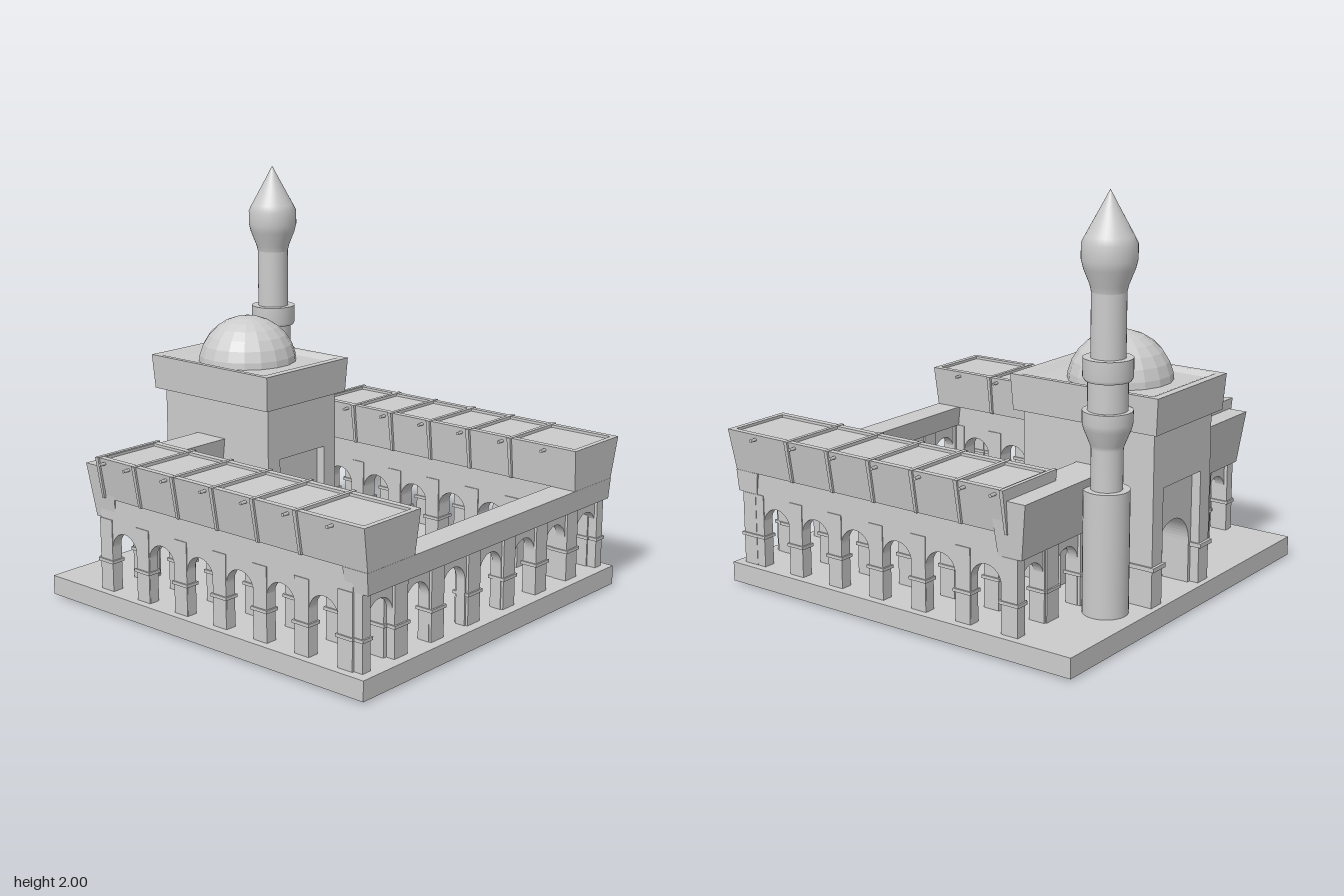
import * as THREE from 'three';

const mat = new THREE.MeshStandardMaterial({ color: 0xcccccc });
const flatMat = new THREE.MeshStandardMaterial({ color: 0xcccccc, flatShading: true });

function add(parent, name, geo, material = mat) {
  const m = new THREE.Mesh(geo, material);
  m.name = name;
  parent.add(m);
  return m;
}

// Axis-aligned box given by its limits
function box(parent, name, x0, x1, y0, y1, z0, z1) {
  const m = add(parent, name, new THREE.BoxGeometry(x1 - x0, y1 - y0, z1 - z0));
  m.position.set((x0 + x1) / 2, (y0 + y1) / 2, (z0 + z1) / 2);
}

// Flat plate with rectangular holes; rectangles are [xCentre, zCentre, width, depth]
function plate(parent, name, rect, y0, y1, holes) {
  const corners = ([x, z, w, d]) => [[-1, -1], [1, -1], [1, 1], [-1, 1]]
    .map(([i, j]) => new THREE.Vector2(x + i * w / 2, -z + j * d / 2));
  const s = new THREE.Shape(corners(rect));
  s.holes = holes.map((h) => new THREE.Path(corners(h).reverse()));
  const g = new THREE.ExtrudeGeometry(s, { depth: y1 - y0, bevelEnabled: false });
  g.rotateX(-Math.PI / 2).translate(0, y0, 0);
  add(parent, name, g);
}

// Capped loft through rectangles [y, x0, x1, z0, z1]
function rectLoft(parent, name, sections) {
  const pos = [], idx = [];
  for (const [y, x0, x1, z0, z1] of sections) pos.push(x0, y, z0, x0, y, z1, x1, y, z1, x1, y, z0);
  for (let s = 0; s < sections.length - 1; s++) {
    for (let i = 0; i < 4; i++) {
      const a = s * 4 + i, b = s * 4 + (i + 1) % 4;
      idx.push(a, b, b + 4, a, b + 4, a + 4);
    }
  }
  const t = (sections.length - 1) * 4;
  idx.push(0, 2, 1, 0, 3, 2, t, t + 1, t + 2, t, t + 2, t + 3);
  const g = new THREE.BufferGeometry();
  g.setAttribute('position', new THREE.Float32BufferAttribute(pos, 3));
  g.setIndex(idx);
  const flat = g.toNonIndexed();
  flat.computeVertexNormals();
  add(parent, name, flat);
}

// Wall pierced by round arches; runs along x, or along z when alongZ is set
function archWall(parent, name, { from, to, centers, r, spring, top, depth, at, alongZ }) {
  const base = 0.1;
  const s = new THREE.Shape();
  s.moveTo(from, base);
  for (const c of centers) {
    s.lineTo(c - r, base);
    s.lineTo(c - r, spring);
    s.absarc(c, spring, r, Math.PI, 0, true);
    s.lineTo(c + r, base);
  }
  s.lineTo(to, base);
  s.lineTo(to, top);
  s.lineTo(from, top);
  s.closePath();
  const g = new THREE.ExtrudeGeometry(s, { depth, bevelEnabled: false, curveSegments: 14 });
  g.translate(0, 0, -depth / 2);
  if (alongZ) g.rotateY(-Math.PI / 2);
  add(parent, name, g).position.set(alongZ ? at : 0, 0, alongZ ? 0 : at);
}

// Pillar with a thin moulding around it
function pillar(parent, x, z, w, d) {
  box(parent, 'pillar', x - w / 2, x + w / 2, 0.1, 0.46, z - d / 2, z + d / 2);
  const e = 0.008;
  box(parent, 'pillarMoulding', x - w / 2 - e, x + w / 2 + e, 0.245, 0.26, z - d / 2 - e, z + d / 2 + e);
}

export function createModel() {
  const root = new THREE.Group();
  root.name = 'courtyardBuilding';
  const group = (name) => {
    const g = new THREE.Group();
    g.name = name;
    root.add(g);
    return g;
  };

  const arch = { r: 0.083, spring: 0.322, depth: 0.05 };
  const xArches = [-0.778, -0.525, -0.265, 0.01, 0.274, 0.532, 0.795];
  const zArches = [-0.508, -0.256, -0.006, 0.243, 0.49, 0.737];
  const xPillars = [-0.65, -0.395, -0.128, 0.142, 0.402, 0.66];
  const xCorners = [-0.884, 0.897];
  const xBack = xPillars.filter((v) => Math.abs(v) > 0.3);
  const zPillars = [-0.632, -0.382, -0.131, 0.118, 0.367, 0.613, 0.86];
  const legs = [-0.1625, 0.245].flatMap((x) => [-0.355, -0.853].map((z) => [x, z]));
  // Arch rows of each wing: distance from the centre, wall and pillar thickness
  const rows = [{ x: 0.892, wall: 0.05, post: 0.058 }, { x: 0.667, wall: 0.085, post: 0.095 }];

  // Base plate, hollow beneath the pillars and gate legs
  const pits = legs.map(([x, z]) => [x, z, 0.075, 0.2]);
  for (const x of [...xPillars, ...xCorners]) pits.push([x, 0.908, 0.045, 0.06]);
  for (const x of [...xBack, ...xCorners]) pits.push([x, -0.64, 0.045, 0.065]);
  for (const { x, post } of rows) {
    for (const z of zPillars.slice(1, 6)) {
      for (const side of [-1, 1]) pits.push([side * x, z, post - 0.012, 0.07]);
    }
  }
  plate(root, 'base', [0, 0.005, 1.92, 1.98], 0.01, 0.105, pits);

  // Front arcade with its beam
  const front = group('frontArcade');
  archWall(front, 'frontArchWall', { ...arch, from: -0.907, to: 0.92, centers: xArches, top: 0.5, at: 0.908 });
  for (const x of xPillars) pillar(front, x, 0.908, 0.09, 0.075);
  for (const x of xCorners) pillar(front, x, 0.908, 0.052, 0.08);
  rectLoft(front, 'frontBeam', [[0.46, -0.912, 0.92, 0.86, 0.978], [0.565, -0.925, 0.925, 0.848, 0.986]]);

  // Back arcade with its parapet block, either side of the gate
  const back = group('backArcade');
  archWall(back, 'backArchWallRight', { ...arch, from: -0.907, to: -0.18, centers: xArches.slice(0, 3), top: 0.5, at: -0.64 });
  archWall(back, 'backArchWallLeft', { ...arch, from: 0.189, to: 0.915, centers: xArches.slice(4), top: 0.5, at: -0.64 });
  for (const x of xBack) pillar(back, x, -0.64, 0.09, 0.08);
  for (const x of xCorners) pillar(back, x, -0.64, 0.052, 0.085);
  rectLoft(back, 'backParapet', [[0.46, -0.912, 0.92, -0.702, -0.575], [0.72, -0.942, 0.942, -0.735, -0.545]]);

  // Side wings: two arch rows carrying a flared, framed roof
  for (const side of [-1, 1]) {
    const wing = group(side > 0 ? 'leftWing' : 'rightWing');
    for (const { x, wall, post } of rows) {
      archWall(wing, 'sideArchWall', { ...arch, depth: wall, from: -0.67, to: 0.9, centers: zArches, top: 0.57, at: side * x, alongZ: true });
      for (const z of zPillars) pillar(wing, side * x, z, post, 0.082);
    }
    const span = (a, b) => (side > 0 ? [a, b] : [-b, -a]);
    rectLoft(wing, 'wingRoof', [
      [0.565, ...span(0.61, 0.923), -0.615, 0.985],
      [0.77, ...span(0.587, 0.96), -0.635, 0.997],
      [0.77, ...span(0.62, 0.93), -0.61, 0.97],
      [0.757, ...span(0.62, 0.93), -0.61, 0.97],
    ]);
    // Ribs wrap over the roof and run down both flanks
    for (const z of [-0.628, -0.38, -0.131, 0.118, 0.366, 0.617]) {
      rectLoft(wing, 'roofRib', [
        [0.566, ...span(0.597, 0.935), z - 0.007, z + 0.007],
        [0.772, ...span(0.573, 0.97), z - 0.01, z + 0.01],
      ]);
    }
    for (const z of [-0.587, -0.422, -0.175, 0.074, 0.322, 0.57, 0.82]) {
      const rod = add(wing, 'roofPole', new THREE.CylinderGeometry(0.008, 0.008, 0.435, 8));
      rod.rotation.z = Math.PI / 2;
      rod.position.set(side * 0.7725, 0.746, z);
    }
  }

  // Domed gate tower: legs, recessed arches, upper block
  const gate = group('gate');
  for (const x of [-0.1625, 0.245]) {
    archWall(gate, 'gateSideWall', { from: -0.957, to: -0.25, centers: [-0.605], r: 0.145, spring: 0.3, top: 0.65, depth: 0.085, at: x, alongZ: true });
  }
  for (const [x, z] of legs) {
    plate(gate, 'gateFoot', [x, z, 0.085, 0.208], 0, 0.02, [[x, z, 0.075, 0.2]]);
    box(gate, 'gateLegMoulding', x - 0.052, x + 0.052, 0.28, 0.3, z - 0.118, z + 0.118);
  }
  for (const z of [-0.365, -0.842]) {
    archWall(gate, 'gateArch', { from: -0.125, to: 0.207, centers: [0.041], r: 0.142, spring: 0.31, top: 0.65, depth: 0.14, at: z });
  }
  box(gate, 'gateUpperBlock', -0.205, 0.2875, 0.65, 0.94, -0.957, -0.25);
  rectLoft(gate, 'gateCornice', [
    [0.92, -0.25, 0.322, -0.988, -0.213],
    [1.092, -0.26, 0.332, -1, -0.203],
    [1.092, -0.235, 0.306, -0.962, -0.245],
    [1.073, -0.205, 0.274, -0.92, -0.287],
  ]);
  const dome = add(gate, 'dome', new THREE.SphereGeometry(0.248, 18, 7, 0, Math.PI * 2, 0, Math.PI / 2), flatMat);
  dome.position.set(0.035, 1.05, -0.612);

  // Slender round tower, built from smooth stacked sections
  const tower = group('tower');
  tower.position.set(0.435, 0, -0.808);
  const sections = [
    ['towerFoot', [[0, 0], [0.105, 0]]],
    ['towerShaft', [[0.105, 0], [0.105, 0.68]]],
    ['towerShaftTop', [[0.105, 0.68], [0, 0.68]]],
    ['lowerBalcony', [[0.072, 0.66], [0.072, 0.865], [0.078, 0.885], [0.107, 0.955], [0.113, 0.985], [0.113, 1.038]]],
    ['lowerBalconyTop', [[0.113, 1.038], [0, 1.038]]],
    ['middleShaft', [[0.09, 1.03], [0.09, 1.18]]],
    ['upperBalconyUnderside', [[0, 1.172], [0.104, 1.172]]],
    ['upperBalcony', [[0.104, 1.172], [0.112, 1.187], [0.112, 1.273]]],
    ['upperBalconyTop', [[0.112, 1.273], [0, 1.273]]],
    ['upperShaft', [[0.078, 1.27], [0.078, 1.565]]],
    ['spire', [[0.078, 1.56], [0.085, 1.59], [0.113, 1.66], [0.123, 1.7], [0.123, 1.77], [0.107, 1.802], [0.04, 1.925], [0, 2]]],
  ];
  for (const [name, pts] of sections) {
    add(tower, name, new THREE.LatheGeometry(pts.map((p) => new THREE.Vector2(...p)), 32));
  }
  return root;
}
